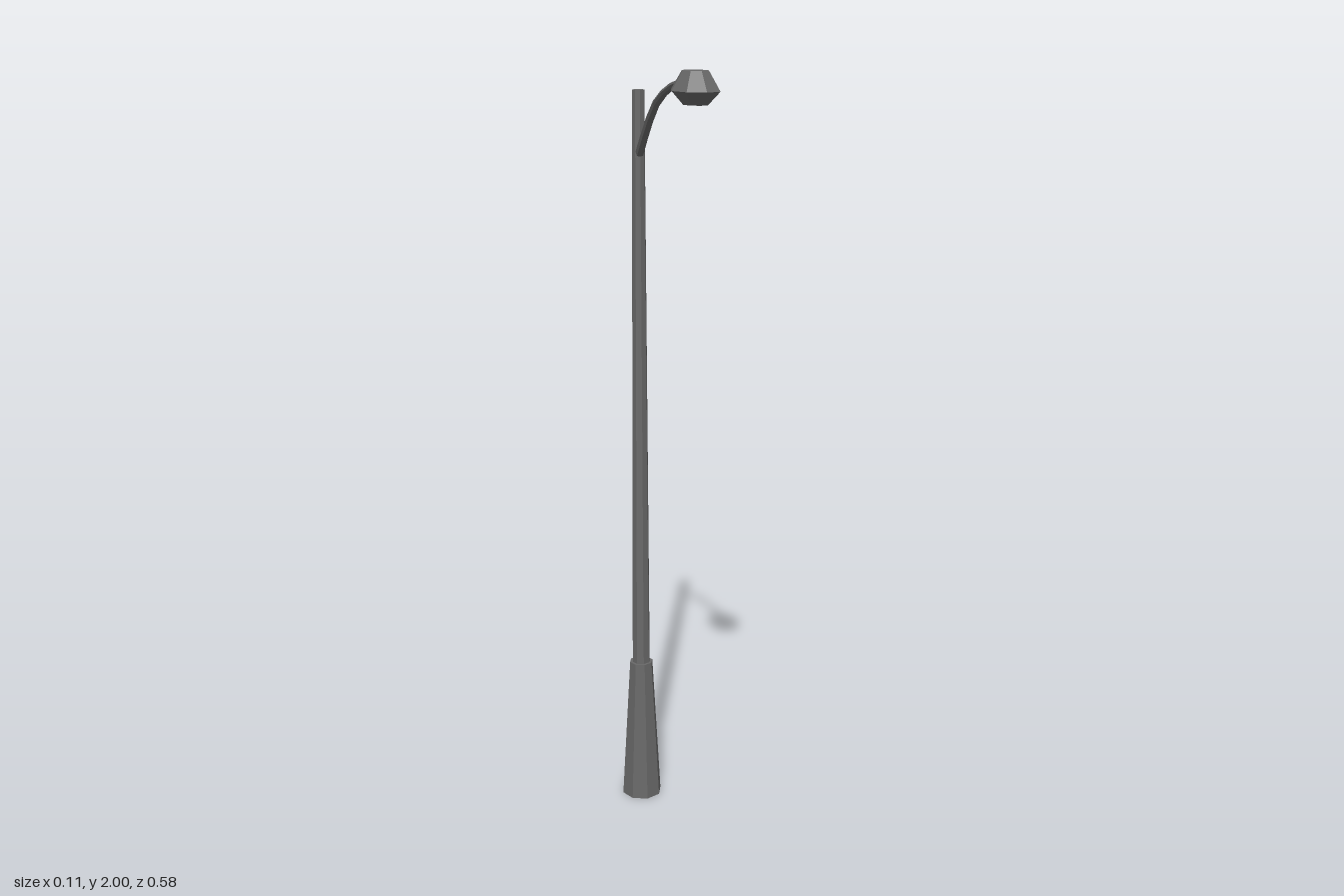
import * as THREE from 'three';

const POLE_Z = -0.235;
const SIDES = 8;

export function createModel() {
  const group = new THREE.Group();
  const metal = new THREE.MeshStandardMaterial({ color: 0x686868 });
  metal.name = 'grey metal';

  // Adds a faceted part
  const add = (name, geometry) => {
    const flat = geometry.toNonIndexed();
    flat.computeVertexNormals();
    const mesh = new THREE.Mesh(flat, metal);
    mesh.name = name;
    group.add(mesh);
    return mesh;
  };

  // Upright tapered column between two heights
  const column = (name, rBottom, rTop, y0, y1) => {
    const geometry = new THREE.CylinderGeometry(rTop, rBottom, y1 - y0, SIDES);
    add(name, geometry.translate(0, (y0 + y1) / 2, POLE_Z));
  };
  column('base', 0.055, 0.032, 0, 0.4);
  column('pole', 0.0245, 0.016, 0.39, 1.935);

  // Curved arm, thinning towards the lamp
  const curve = new THREE.CatmullRomCurve3([
    [1.778, -0.23], [1.85, -0.16], [1.908, -0.09], [1.947, 0], [1.968, 0.09], [1.981, 0.17],
  ].map(([y, z]) => new THREE.Vector3(0, y, z)));
  const steps = 7;
  const arm = new THREE.TubeGeometry(curve, steps, 0.0115, SIDES);
  const pos = arm.attributes.position;
  const v = new THREE.Vector3();
  for (let i = 0; i < pos.count; i++) {
    const t = Math.floor(i / (SIDES + 1)) / steps;
    v.fromBufferAttribute(pos, i).lerp(curve.getPointAt(t), 0.35 * t);
    pos.setXYZ(i, v.x, v.y, v.z);
  }
  add('arm', arm);

  // Lamp head: faceted oval, widest at the rim
  const profile = [[0, 1.927], [0.028, 1.927], [0.055, 1.957], [0.03, 2], [0, 2]];
  const head = new THREE.LatheGeometry(profile.map(([r, y]) => new THREE.Vector2(r, y)), SIDES);
  add('lampHead', head.scale(1, 1, 1.45).translate(0, 0, 0.208));

  return group;
}
